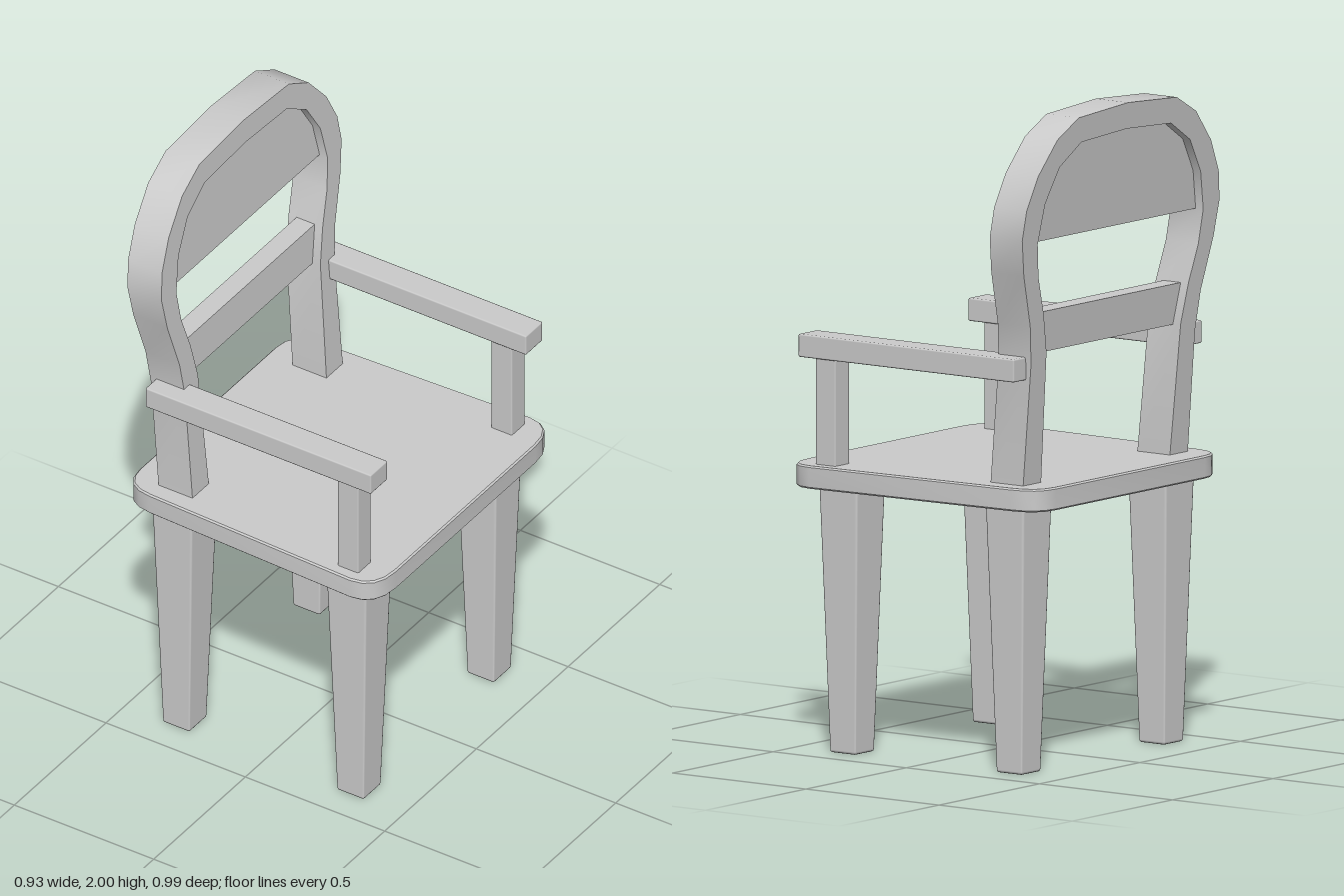
import * as THREE from 'three';
import { toCreasedNormals } from 'three/addons/utils/BufferGeometryUtils.js';
import { RoundedBoxGeometry } from 'three/addons/geometries/RoundedBoxGeometry.js';

const material = new THREE.MeshStandardMaterial({ color: 0xcccccc });

// The backrest leans towards -x as it rises
const lean = (y) => -0.31 - 0.076 * (y - 0.88);

function part(name, geometry, x = 0, y = 0, z = 0) {
  const mesh = new THREE.Mesh(geometry, material);
  mesh.name = name;
  mesh.position.set(x, y, z);
  return mesh;
}

// Mirrors a half outline, listed as [z, y] from the bottom up to the centre line
function mirrored(half) {
  const other = half.filter(([z]) => z > 0).reverse().map(([z, y]) => [-z, y]);
  return [...half, ...other];
}

// Extrudes a [z, y] outline along x and shears it to follow the lean
function leaningSlab(points, depth) {
  const shape = new THREE.Shape(points.map(([z, y]) => new THREE.Vector2(z, y)));
  const geometry = new THREE.ExtrudeGeometry(shape, { depth, bevelEnabled: false });
  geometry.translate(0, 0, -depth / 2).rotateY(Math.PI / 2);
  const p = geometry.attributes.position;
  for (let i = 0; i < p.count; i++) p.setX(i, p.getX(i) + lean(p.getY(i)));
  return toCreasedNormals(geometry, 0.65);
}

// Square leg, narrowing to the foot
function legGeometry() {
  const height = 0.83;
  const geometry = new RoundedBoxGeometry(0.145, height, 0.145, 1, 0.008);
  const p = geometry.attributes.position;
  for (let i = 0; i < p.count; i++) {
    const t = p.getY(i) / height + 0.5;
    const s = 0.66 + 0.34 * t;
    p.setXYZ(i, p.getX(i) * s, p.getY(i), p.getZ(i) * s);
  }
  return geometry.translate(0, height / 2, 0);
}

// Seat board, slightly wider at the front, with rounded corners
function seatGeometry() {
  const s = new THREE.Shape();
  s.moveTo(-0.365, -0.462);
  s.lineTo(0.37, -0.489);
  s.quadraticCurveTo(0.457, -0.487, 0.457, -0.38);
  s.lineTo(0.457, 0.38);
  s.quadraticCurveTo(0.457, 0.487, 0.37, 0.489);
  s.lineTo(-0.365, 0.462);
  s.quadraticCurveTo(-0.46, 0.46, -0.46, 0.37);
  s.lineTo(-0.46, -0.37);
  s.quadraticCurveTo(-0.46, -0.46, -0.365, -0.462);
  const geometry = new THREE.ExtrudeGeometry(s, {
    depth: 0.06, curveSegments: 4, bevelThickness: 0.005, bevelSize: 0.005, bevelSegments: 1,
  });
  geometry.rotateX(-Math.PI / 2).translate(0, 0.815, 0);
  return toCreasedNormals(geometry, 0.6);
}

export function createModel() {
  const chair = new THREE.Group();
  chair.name = 'armchair';

  chair.add(part('seat', seatGeometry()));

  // Legs
  const leg = legGeometry();
  for (const x of [-0.3125, 0.3125]) {
    for (const z of [-0.355, 0.355]) {
      chair.add(part(x < 0 ? 'backLeg' : 'frontLeg', leg, x, 0, z));
    }
  }

  // Arms on short posts
  const arm = new RoundedBoxGeometry(0.81, 0.07, 0.092, 1, 0.005);
  const post = new RoundedBoxGeometry(0.075, 0.37, 0.072, 1, 0.005);
  for (const side of [-1, 1]) {
    chair.add(part('armrest', arm, 0.025, 1.237, side * 0.423));
    chair.add(part('armPost', post, 0.338, 1.04, side * 0.419));
  }

  // Backrest hoop, flaring above the arms and closing in an arch
  const outer = [[0.41, 0.86], [0.408, 1.25], [0.424, 1.37], [0.472, 1.53], [0.491, 1.64],
    [0.478, 1.73], [0.43, 1.83], [0.345, 1.93], [0.244, 1.985], [0, 2]];
  const inner = [[0.32, 0.86], [0.334, 1.28], [0.36, 1.4], [0.398, 1.517], [0.412, 1.62],
    [0.387, 1.74], [0.324, 1.845], [0.223, 1.908], [0, 1.92]];
  const hoop = [...mirrored(outer), ...mirrored(inner).reverse()];
  chair.add(part('backFrame', leaningSlab(hoop, 0.122)));

  // Top panel filling the arch, its edge sunk into the hoop
  const panel = inner.filter(([, y]) => y > 1.6).map(([z, y]) => [z * 1.03, y > 1.7 ? y + 0.015 : y]);
  chair.add(part('backPanel', leaningSlab(mirrored(panel), 0.065)));

  // Lower back rail
  const rail = [[0.345, 1.275], [0.37, 1.4]];
  chair.add(part('backRail', leaningSlab(mirrored(rail), 0.065)));

  return chair;
}
